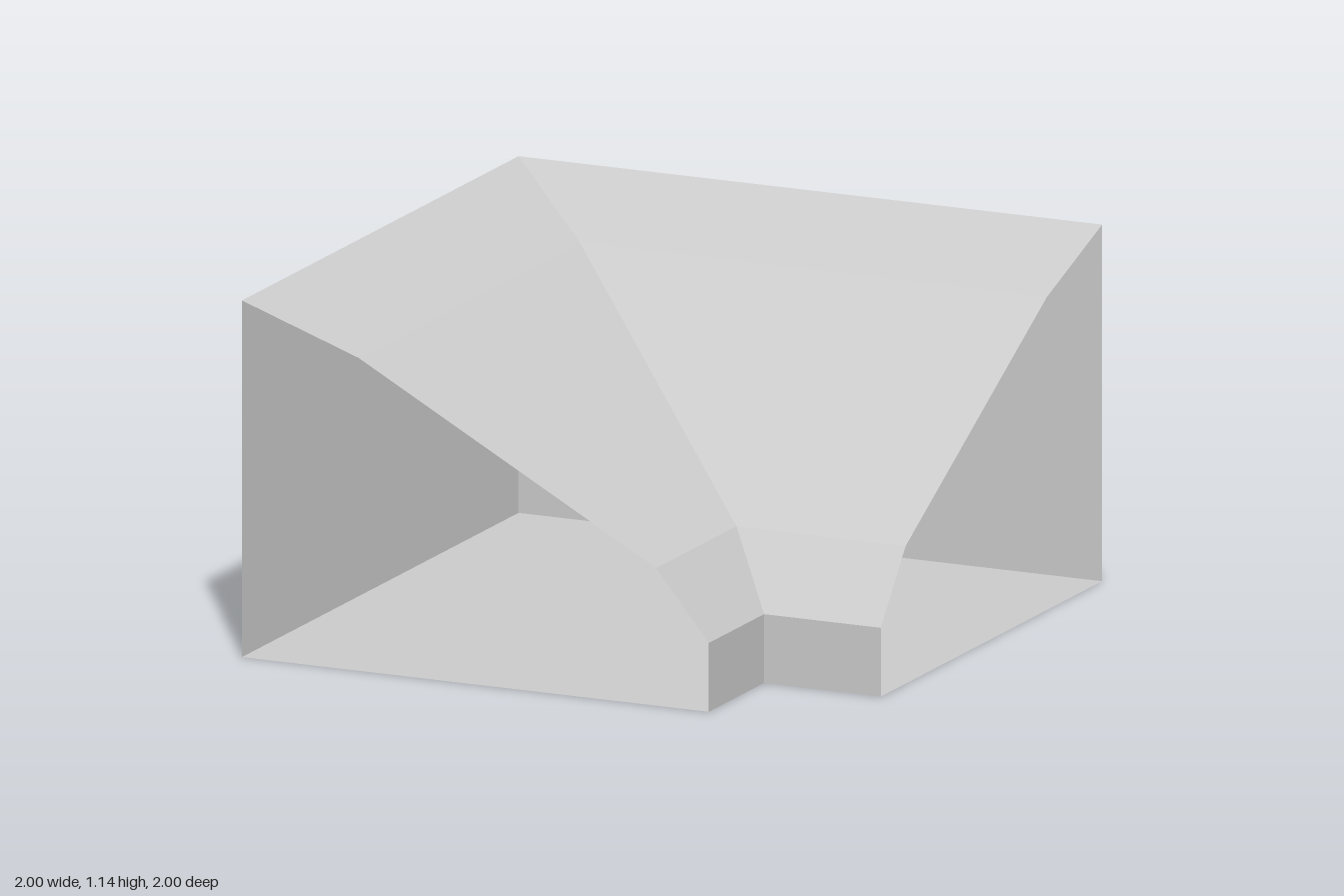
import * as THREE from 'three';

// Cross-section of the trough wall: [distance across, height], closed loop
const profile = [[-1, 0], [-1, 1.14], [-0.6, 1.0], [0.42, 0.44], [0.6, 0.22], [0.6, 0]];
const names = ['outerWall', 'upperSlope', 'mainSlope', 'lowerSlope', 'innerWall', 'floor'];

// Flat strip along one profile edge: open front end -> mitre -> open side end
function sweptStrip([d0, y0], [d1, y1]) {
  const rail = (d, y) => [[d, y, 1], [d, y, d], [1, y, d]];
  const a = rail(d0, y0), b = rail(d1, y1);
  const points = [];
  for (let i = 0; i < 2; i++) {
    points.push(a[i], b[i], b[i + 1], a[i], b[i + 1], a[i + 1]);
  }
  const geometry = new THREE.BufferGeometry();
  geometry.setAttribute('position', new THREE.Float32BufferAttribute(points.flat(), 3));
  geometry.computeVertexNormals();
  return geometry;
}

export function createModel() {
  const group = new THREE.Group();
  group.name = 'cornerPiece';
  // Hollow shell, open at both ends
  const material = new THREE.MeshStandardMaterial({
    color: 0xcccccc, flatShading: true, side: THREE.DoubleSide,
  });
  profile.forEach((point, i) => {
    const next = profile[(i + 1) % profile.length];
    const mesh = new THREE.Mesh(sweptStrip(point, next), material);
    mesh.name = names[i];
    group.add(mesh);
  });
  return group;
}
